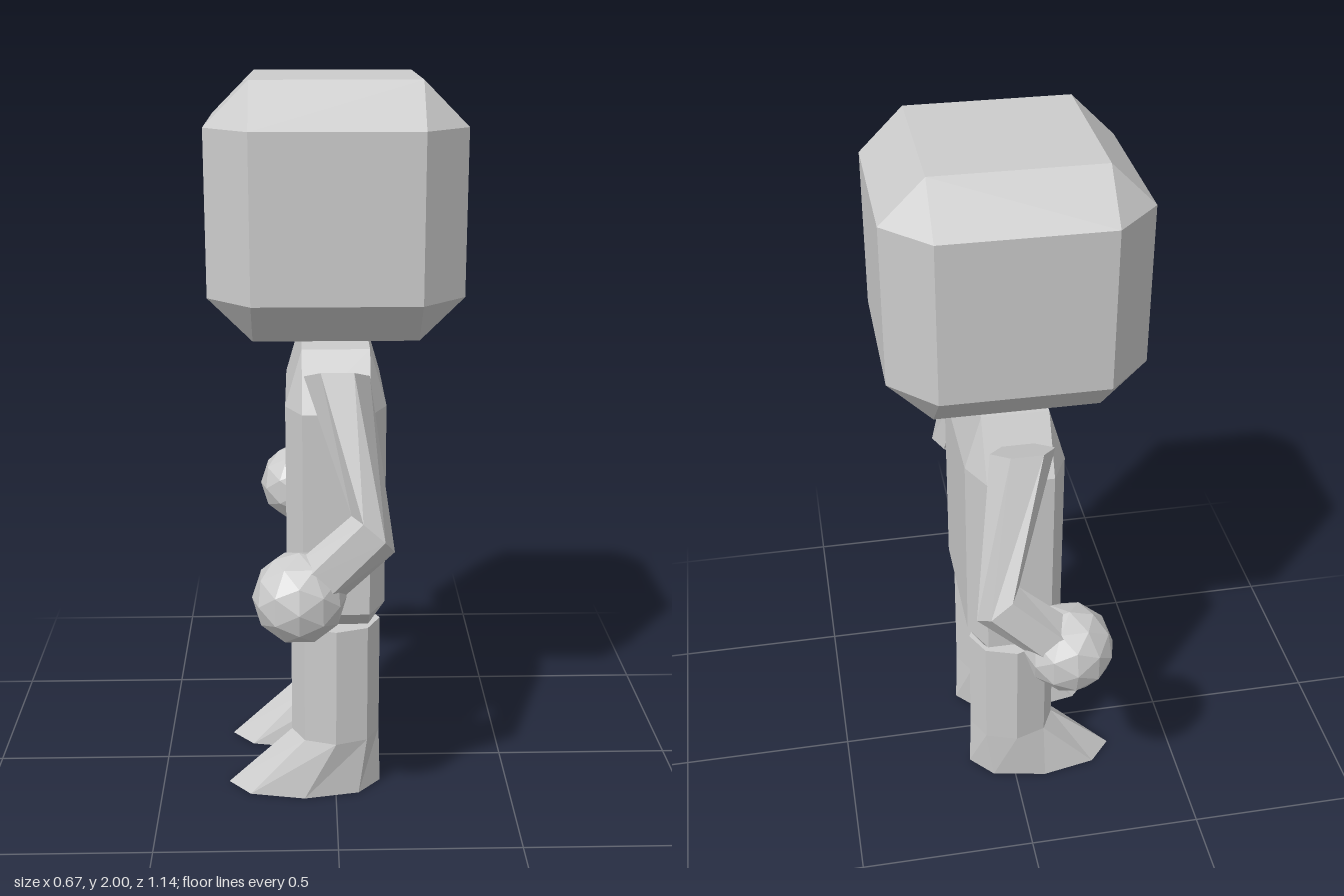
import * as THREE from 'three';
import { ConvexGeometry } from 'three/addons/geometries/ConvexGeometry.js';

const material = new THREE.MeshStandardMaterial({ color: 0xcccccc, flatShading: true });

function part(name, geometry, parent) {
  const mesh = new THREE.Mesh(geometry, material);
  mesh.name = name;
  parent.add(mesh);
  return mesh;
}

// Box with every edge cut: hx, hz are half sizes, ix, iz the inner half sizes
function chamferedBox(hx, hz, ix, iz, bottom, lowCut, highCut, top) {
  const points = [];
  for (const sx of [-1, 1]) for (const sz of [-1, 1]) {
    for (const [outer, inner] of [[bottom, lowCut], [top, highCut]]) {
      points.push(
        new THREE.Vector3(sx * hx, inner, sz * iz),
        new THREE.Vector3(sx * ix, inner, sz * hz),
        new THREE.Vector3(sx * ix, outer, sz * iz));
    }
  }
  return new ConvexGeometry(points);
}

// Capped loft through rings listed from bottom to top.
// Each ring has a centre c and two half axes u, v; side mirrors it across z.
function loft(rings, sides, side) {
  const loops = rings.map(({ c, u, v }) => {
    const loop = [];
    for (let i = 0; i < sides; i++) {
      const a = (i / sides) * Math.PI * 2, cos = Math.cos(a), sin = Math.sin(a);
      loop.push([
        c[0] + u[0] * cos + side * v[0] * sin,
        c[1] + u[1] * cos + side * v[1] * sin,
        side * c[2] + u[2] * cos + v[2] * sin]);
    }
    return loop;
  });
  const pos = [];
  const tri = (a, b, c) => pos.push(...a, ...b, ...c);
  const first = loops[0], last = loops[loops.length - 1];
  for (let i = 0; i < sides; i++) {
    const j = (i + 1) % sides;
    for (let k = 0; k + 1 < loops.length; k++) {
      const lo = loops[k], hi = loops[k + 1];
      tri(lo[i], hi[i], lo[j]);
      tri(lo[j], hi[i], hi[j]);
    }
    if (i > 0 && j > 0) {
      tri(first[0], first[i], first[j]);
      tri(last[0], last[j], last[i]);
    }
  }
  const geometry = new THREE.BufferGeometry();
  geometry.setAttribute('position', new THREE.Float32BufferAttribute(pos, 3));
  geometry.computeVertexNormals();
  return geometry;
}

export function createModel() {
  const model = new THREE.Group();
  model.name = 'figure';

  // Head, neck and torso
  part('head', chamferedBox(0.333, 0.333, 0.217, 0.217, 1.34, 1.455, 1.885, 2), model);
  part('neck', new THREE.CylinderGeometry(0.088, 0.088, 0.12, 8), model).position.y = 1.26;
  part('torso', chamferedBox(0.135, 0.273, 0.09, 0.185, 0.52, 0.588, 1.155, 1.31), model);

  for (const [label, side] of [['left', 1], ['right', -1]]) {
    // Bent arm from wrist to elbow to shoulder
    const arm = new THREE.Group();
    arm.name = label + 'Arm';
    part('armTube', loft([
      { c: [-0.06, 0.755, 0.45], u: [0.05, -0.058, 0], v: [0, 0.015, 0.08] },
      { c: [0.09, 0.885, 0.43], u: [0.056, -0.05, 0], v: [0, 0.029, 0.073] },
      { c: [0, 1.265, 0.288], u: [0.085, 0, 0], v: [0, 0.029, 0.073] },
    ], 6, side), arm);
    part('hand', new THREE.IcosahedronGeometry(0.122, 1), arm)
      .position.set(-0.1, 0.72, 0.447 * side);
    model.add(arm);

    // Leg flaring into a foot that points to -x
    part(label + 'Leg', loft([
      { c: [-0.09, 0, 0.143], u: [0.22, 0, 0], v: [0, 0, 0.1] },
      { c: [0, 0.172, 0.143], u: [0.125, 0, 0], v: [0, 0, 0.1] },
      { c: [0, 0.52, 0.143], u: [0.125, 0, 0], v: [0, 0, 0.1] },
    ], 8, side), model);
  }
  return model;
}
